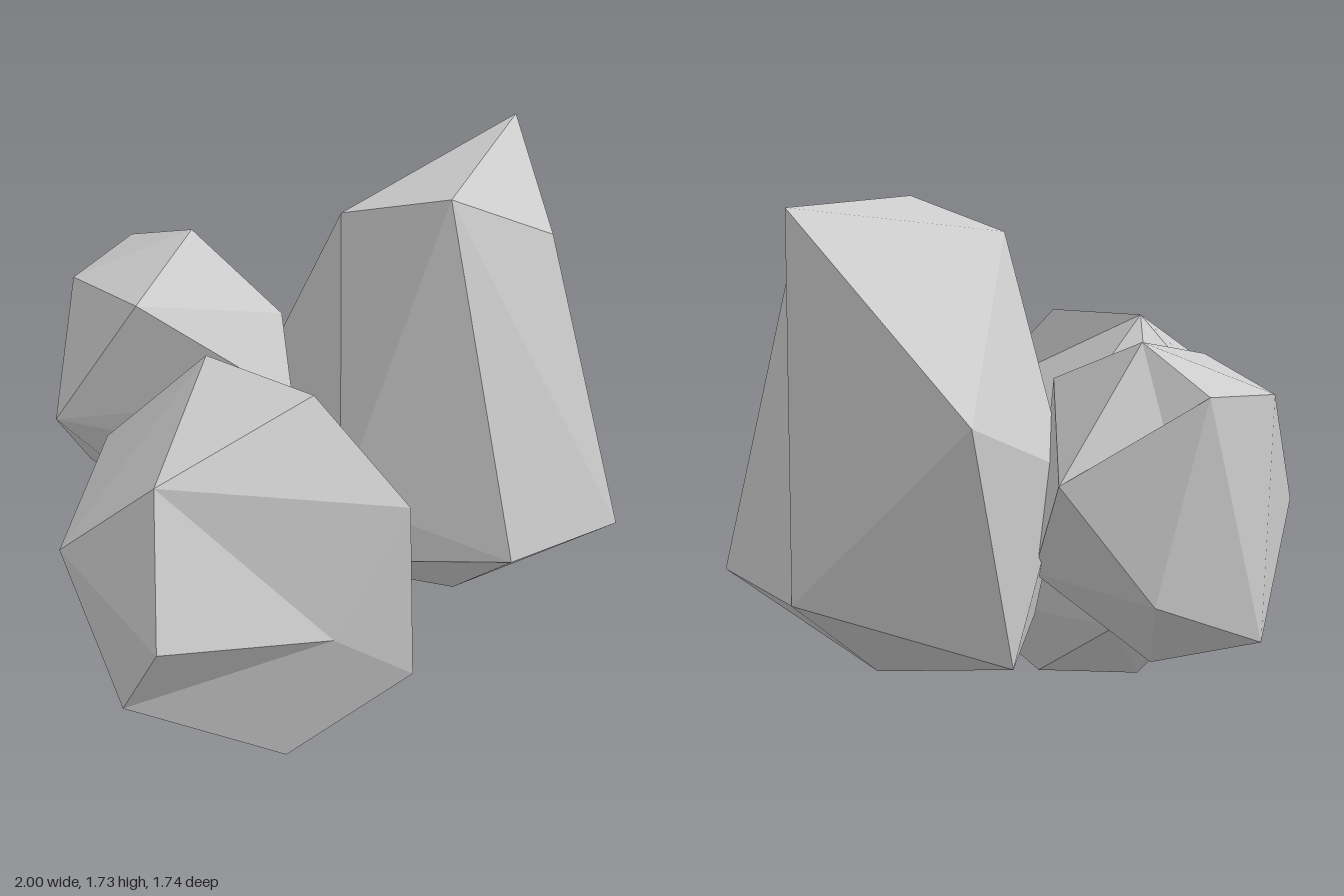
import * as THREE from 'three';
import { ConvexGeometry } from 'three/addons/geometries/ConvexGeometry.js';

const material = new THREE.MeshStandardMaterial({ color: 0xcccccc, flatShading: true });

// A faceted rock: the convex skin around a few corners. Each dent [apex, ...rim]
// replaces the skin inside its rim with a fan of facets from the apex corner.
function rock(name, corners, dents) {
  const points = corners.map(([x, y, z]) => new THREE.Vector3(x, y, z));
  const skin = new ConvexGeometry(points).getAttribute('position');
  const facets = [];
  for (let i = 0; i < skin.count; i += 3) {
    const facet = [0, 1, 2].map((k) => {
      const p = new THREE.Vector3().fromBufferAttribute(skin, i + k);
      return points.findIndex((q) => q.distanceTo(p) < 1e-4);
    });
    if (!dents.some((dent) => facet.every((c) => dent.includes(c)))) facets.push(facet);
  }
  for (const [apex, ...rim] of dents) {
    for (let i = 0; i + 1 < rim.length; i++) facets.push([apex, rim[i], rim[i + 1]]);
  }
  const geometry = new THREE.BufferGeometry().setFromPoints(facets.flat().map((c) => points[c]));
  geometry.computeVertexNormals();
  const mesh = new THREE.Mesh(geometry, material);
  mesh.name = name;
  return mesh;
}

export function createModel() {
  const group = new THREE.Group();
  group.name = 'rockCluster';

  // Rounded boulder on the right
  group.add(rock('roundRock', [
    // crown (0-2)
    [-0.87, 1.08, 0.42], [-0.42, 1.28, 0.17], [-0.36, 1.26, 0.57],
    // waist (3-9)
    [-0.23, 0.94, 0.85], [-1, 0.63, 0.56], [-0.97, 0.79, 0.1], [-0.55, 0.94, -0.15],
    [-0.15, 0.86, -0.21], [0.17, 0.79, 0.08], [-0.45, 0.53, 0.75],
    // underside (10-18)
    [-0.5, 0.455, -0.25], [-0.97, 0.35, 0.37], [-0.22, 0.365, 0.87], [0.13, 0.32, 0.55],
    [-0.07, 0.3, -0.11], [-0.52, 0.09, 0.62], [-0.13, 0.03, 0.37], [-0.44, 0, 0.2],
    [-0.7, 0.36, 0.14],
  ], [
    [9, 0, 4, 11, 15, 12, 3, 0], // front hollow
    [18, 6, 10, 17, 15, 11, 5, 6], // back hollow
    [1, 2, 3, 8], // crease below the crown
    [12, 13, 8, 3], // crease on the inner side
  ]));

  // Tall slab on the left
  group.add(rock('tallRock', [
    // top (0-3)
    [0.27, 1.7, 0.54], [0.97, 1.73, 0.21], [0.73, 1.47, 0.58], [0.14, 1.6, 0.2],
    // back shoulder (4-5)
    [0.73, 1.11, -0.4], [0.25, 0.9, -0.25],
    // base (6-13)
    [0.05, 0.66, 0.3], [0.12, 0.44, 0.4], [0.35, 0.495, 0.78], [0.85, 0.465, 0.82],
    [1, 0.495, 0.18], [0.51, 0.31, -0.31], [0.1, 0.33, 0.1], [0.55, 0.155, 0.37],
  ], [
    [2, 9, 10, 1], // crease on the outer side
  ]));

  // Smaller boulder at the back
  group.add(rock('backRock', [
    // crown (0-5)
    [0.18, 1.33, -0.53], [0.21, 1.21, -0.87], [-0.24, 1.23, -0.35],
    [-0.13, 1.17, -0.79], [0.17, 1.16, -0.09], [0.31, 1.07, -0.8],
    // waist (6-10)
    [0.57, 0.95, -0.61], [-0.38, 0.78, -0.61], [0.04, 0.95, 0.09],
    [0.05, 0.7, 0.05], [0.34, 0.57, -0.2],
    // underside (11-13)
    [0.35, 0.58, -0.79], [-0.03, 0.42, -0.85], [0.06, 0.28, -0.44],
  ], [
    [0, 6, 5, 1], // crease below the crown
  ]));

  return group;
}
